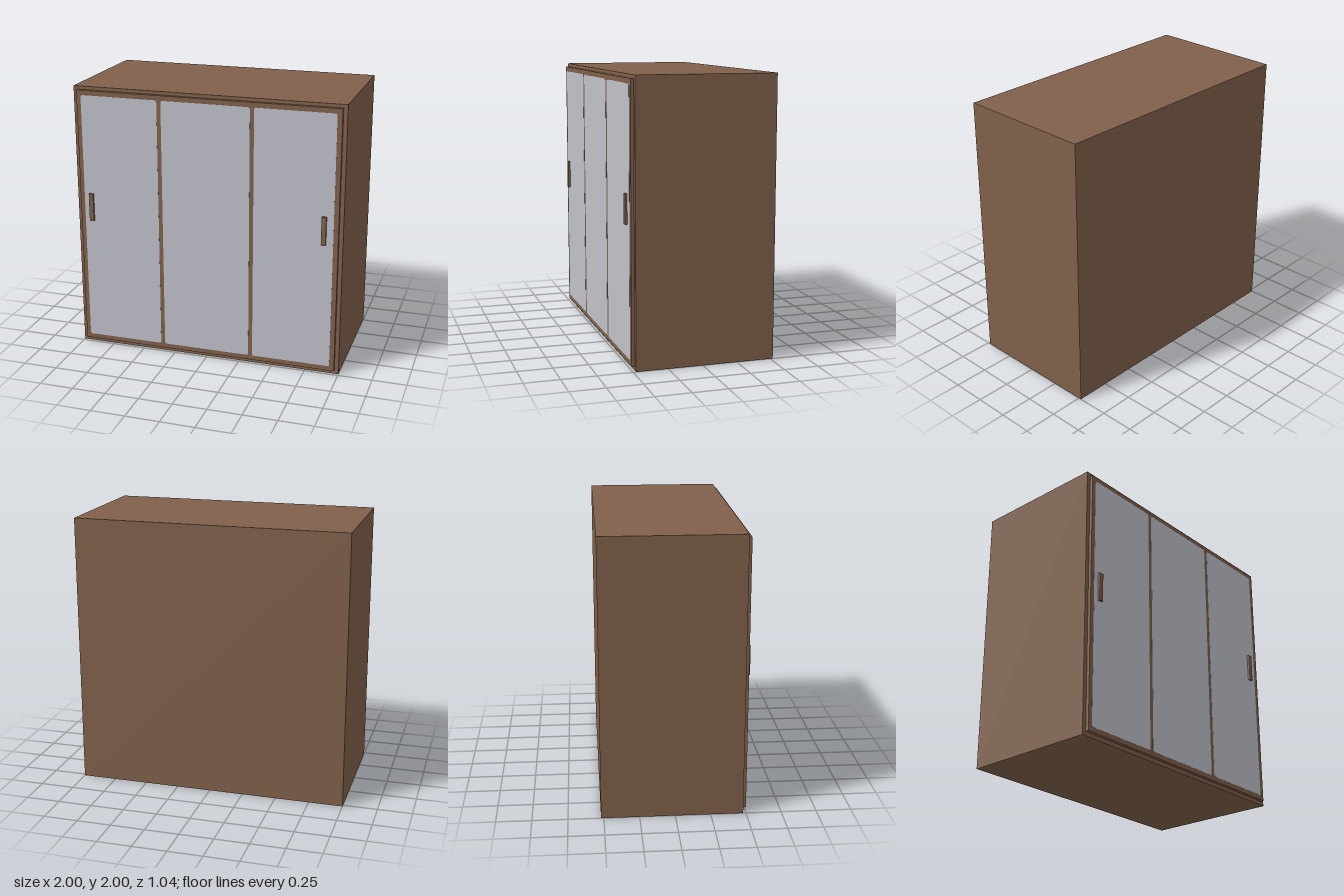
import * as THREE from 'three';

const wood = new THREE.MeshStandardMaterial({ name: 'brown wood', color: 0x80604a });
const glass = new THREE.MeshStandardMaterial({ name: 'pale grey panel', color: 0xc0c2ca });

// Box given by its minimum and maximum corners
function box(name, [x0, y0, z0], [x1, y1, z1]) {
  const mesh = new THREE.Mesh(new THREE.BoxGeometry(x1 - x0, y1 - y0, z1 - z0), wood);
  mesh.name = name;
  mesh.position.set((x0 + x1) / 2, (y0 + y1) / 2, (z0 + z1) / 2);
  return mesh;
}

// Thin plate with small rounded corners
function panel(name, x0, x1, y0, y1, z) {
  const r = 0.015;
  const s = new THREE.Shape();
  s.absarc(x1 - r, y1 - r, r, 0, Math.PI / 2);
  s.absarc(x0 + r, y1 - r, r, Math.PI / 2, Math.PI);
  s.absarc(x0 + r, y0 + r, r, Math.PI, Math.PI * 1.5);
  s.absarc(x1 - r, y0 + r, r, Math.PI * 1.5, Math.PI * 2);
  s.closePath();
  const geometry = new THREE.ExtrudeGeometry(s, { depth: 0.002, bevelEnabled: false, curveSegments: 5 });
  const mesh = new THREE.Mesh(geometry, glass);
  mesh.name = name;
  mesh.position.z = z;
  return mesh;
}

export function createModel() {
  const model = new THREE.Group();
  model.name = 'slidingWardrobe';

  // Cabinet body and the raised door frame
  model.add(box('cabinetBody', [-1, 0, -0.52], [1, 2, 0.48]));
  model.add(box('doorFrame', [-0.97, 0.03, 0.48], [0.97, 1.975, 0.503]));

  // Three pale door panels
  const panels = [
    ['rightDoorPanel', -0.938, -0.358],
    ['middleDoorPanel', -0.328, 0.325],
    ['leftDoorPanel', 0.355, 0.935],
  ];
  for (const [name, x0, x1] of panels) model.add(panel(name, x0, x1, 0.065, 1.94, 0.502));

  // Upright handles on the outer doors
  for (const [name, x] of [['rightHandle', -0.882], ['leftHandle', 0.867]]) {
    model.add(box(name, [x - 0.017, 0.995, 0.503], [x + 0.017, 1.205, 0.52]));
  }
  return model;
}
